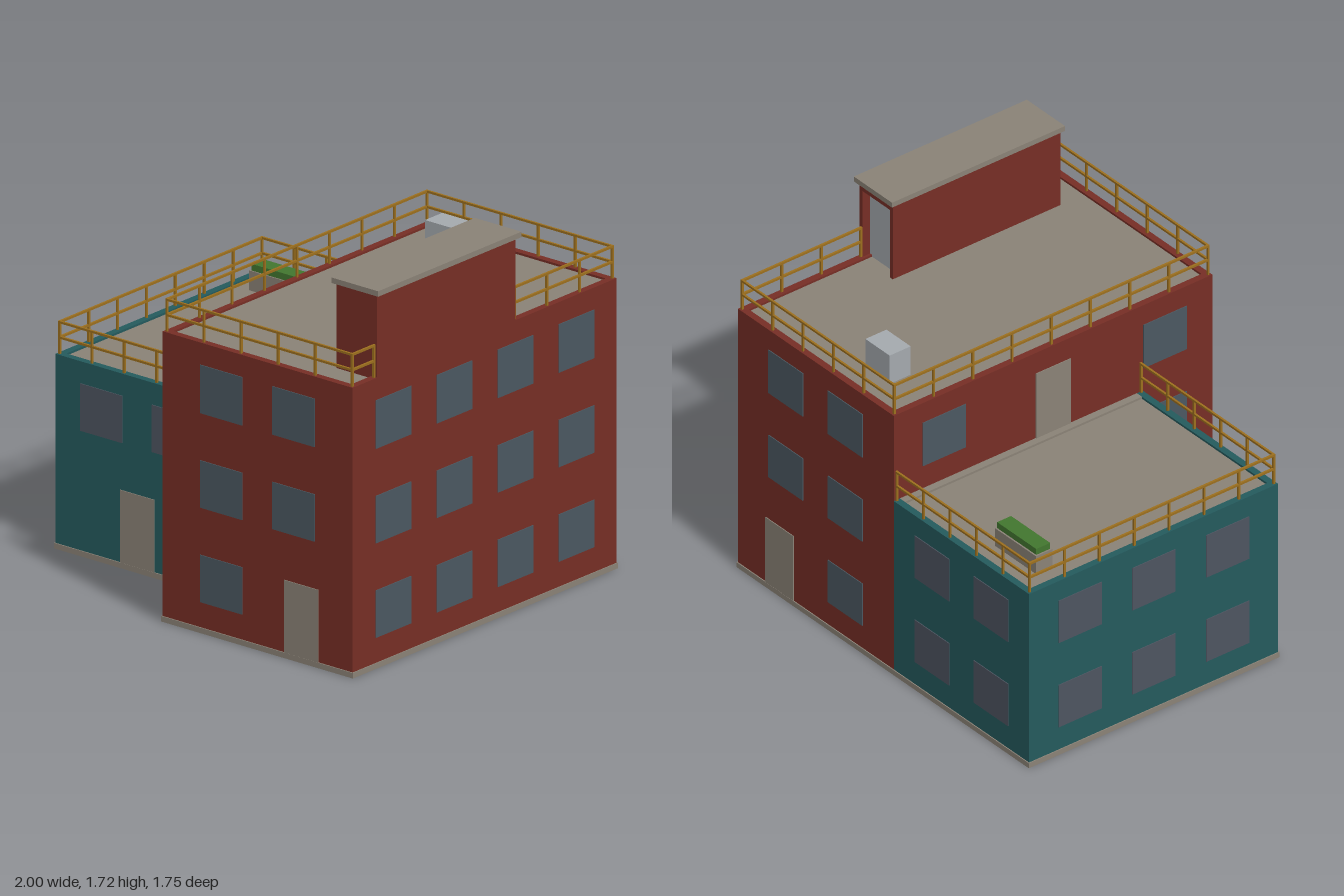
import * as THREE from 'three';

const flat = (name, color) => {
  const m = new THREE.MeshStandardMaterial({ color });
  m.name = name;
  return m;
};

export function createModel() {
  const model = new THREE.Group();
  model.name = 'building';
  const red = flat('red wall', 0x762e25);
  const teal = flat('teal wall', 0x245a5d);
  const stone = flat('stone', 0x8a8276);
  const glassBlue = flat('blue grey glass', 0x4b5861);
  const glassGrey = flat('grey glass', 0x4d5460);
  const metal = flat('light metal', 0xa4a9ae);
  const brass = flat('brass rail', 0x9c6f1e);
  const green = flat('leaf green', 0x42762f);

  // Box given by its lower and upper corners
  const box = (name, mat, x0, x1, y0, y1, z0, z1, parent = model) => {
    const m = new THREE.Mesh(new THREE.BoxGeometry(x1 - x0, y1 - y0, z1 - z0), mat);
    m.name = name;
    m.position.set((x0 + x1) / 2, (y0 + y1) / 2, (z0 + z1) / 2);
    parent.add(m);
    return m;
  };

  // Thin plate on a wall: axis is the wall normal, at its position, u the centre along it
  const T = 0.004;
  const plate = (name, mat, axis, at, u, y0, y1, w) =>
    axis === 'x'
      ? box(name, mat, at - T, at + T, y0, y1, u - w / 2, u + w / 2)
      : box(name, mat, u - w / 2, u + w / 2, y0, y1, at - T, at + T);
  const ROWS = [[0.14, 0.355], [0.57, 0.785], [1.0, 1.22]];
  const win = (mat, axis, at, u, row) => plate('window', mat, axis, at, u, ...ROWS[row], 0.235);
  const door = (axis, at, u, y = 0.025) => plate('door', stone, axis, at, u, y, y + 0.33, 0.19);

  // Wings: plinth, body, roof deck and low parapet
  const wing = (label, mat, x0, x1, z0, z1, h) => {
    const g = new THREE.Group();
    g.name = label;
    model.add(g);
    const p = 0.033, d = h - 0.01;
    box('wallBody', mat, x0, x1, 0.025, d - 0.004, z0, z1, g);
    box('roofDeck', stone, x0 + p, x1 - p, d - 0.004, d, z0 + p, z1 - p, g);
    for (const [a, b] of [[x0, x0 + p], [x1 - p, x1]]) box('parapet', mat, a, b, d - 0.004, h, z0, z1, g);
    for (const [a, b] of [[z0, z0 + p], [z1 - p, z1]]) box('parapet', mat, x0 + p, x1 - p, d - 0.004, h, a, b, g);
  };
  wing('tallWing', red, -0.075, 0.985, -0.87, 0.87, 1.32);
  wing('lowWing', teal, -0.995, -0.075, -0.87, 0.49, 0.885);
  box('lowDeckInfill', stone, -0.11, -0.074, 0.87, 0.8855, -0.837, 0.457);
  box('tallPlinth', stone, -0.08, 0.99, 0, 0.025, -0.875, 0.875);
  box('lowPlinth', stone, -1, -0.08, 0, 0.025, -0.875, 0.495);

  // Tall wing openings
  for (let row = 0; row < 3; row++) {
    for (const z of [-0.603, -0.201, 0.201, 0.603]) win(glassBlue, 'x', 0.985, z, row);
    for (const z of [-0.87, 0.87]) {
      win(glassBlue, 'z', z, 0.253, row);
      if (row) win(glassBlue, 'z', z, 0.657, row);
    }
    win(glassBlue, 'x', -0.075, 0.61, row);
  }
  win(glassBlue, 'x', -0.075, -0.595, 2);
  for (const z of [-0.87, 0.87]) door('z', z, 0.7);
  door('x', -0.075, 0, 0.885);

  // Low wing openings
  for (let row = 0; row < 2; row++) {
    for (const z of [-0.593, -0.19, 0.213]) win(glassGrey, 'x', -0.995, z, row);
    for (const x of [-0.738, -0.337]) {
      win(glassGrey, 'z', -0.87, x, row);
      if (row) win(glassGrey, 'z', 0.49, x, row);
    }
  }
  door('z', 0.49, -0.537);

  // Railings: posts with a top and a middle rail
  const R = 0.005;
  const railing = (x0, z0, x1, z1, y) => {
    const g = new THREE.Group();
    g.name = 'railing';
    model.add(g);
    for (const h of [0.075, 0.145])
      box('rail', brass, Math.min(x0, x1) - R, Math.max(x0, x1) + R, y + h - R, y + h + R,
        Math.min(z0, z1) - R, Math.max(z0, z1) + R, g);
    const n = Math.ceil(Math.hypot(x1 - x0, z1 - z0) / 0.22);
    for (let i = 0; i <= n; i++) {
      const x = x0 + (x1 - x0) * i / n, z = z0 + (z1 - z0) * i / n;
      box('post', brass, x - R, x + R, y - 0.005, y + 0.145, z - R, z + R, g);
    }
  };
  railing(-0.062, 0.857, 0.972, 0.857, 1.32);
  railing(-0.062, -0.857, 0.972, -0.857, 1.32);
  railing(-0.062, -0.857, -0.062, 0.857, 1.32);
  railing(0.972, -0.857, 0.972, -0.21, 1.32);
  railing(0.972, 0.715, 0.972, 0.857, 1.32);
  railing(-0.982, 0.477, -0.08, 0.477, 0.885);
  railing(-0.982, -0.857, -0.08, -0.857, 0.885);
  railing(-0.982, -0.857, -0.982, 0.477, 0.885);

  // Stair house with a recessed door at the back
  const house = new THREE.Group();
  house.name = 'stairHouse';
  model.add(house);
  box('houseBody', red, 0.76, 0.985, 1.305, 1.695, -0.16, 0.71, house);
  box('doorJamb', red, 0.76, 0.78, 1.305, 1.695, -0.205, -0.16, house);
  box('doorJamb', red, 0.965, 0.985, 1.305, 1.695, -0.205, -0.16, house);
  box('doorLintel', red, 0.78, 0.965, 1.655, 1.695, -0.205, -0.16, house);
  box('roofDoor', metal, 0.78, 0.965, 1.31, 1.655, -0.164, -0.158, house);
  box('houseRoof', stone, 0.74, 1, 1.695, 1.72, -0.225, 0.72, house);

  // Roof equipment and planter
  box('ventUnit', metal, 0.14, 0.305, 1.31, 1.455, -0.72, -0.605);
  box('planterBox', stone, -0.88, -0.6, 0.875, 0.965, -0.74, -0.65);
  box('planterHedge', green, -0.872, -0.606, 0.965, 0.995, -0.732, -0.656);

  return model;
}
